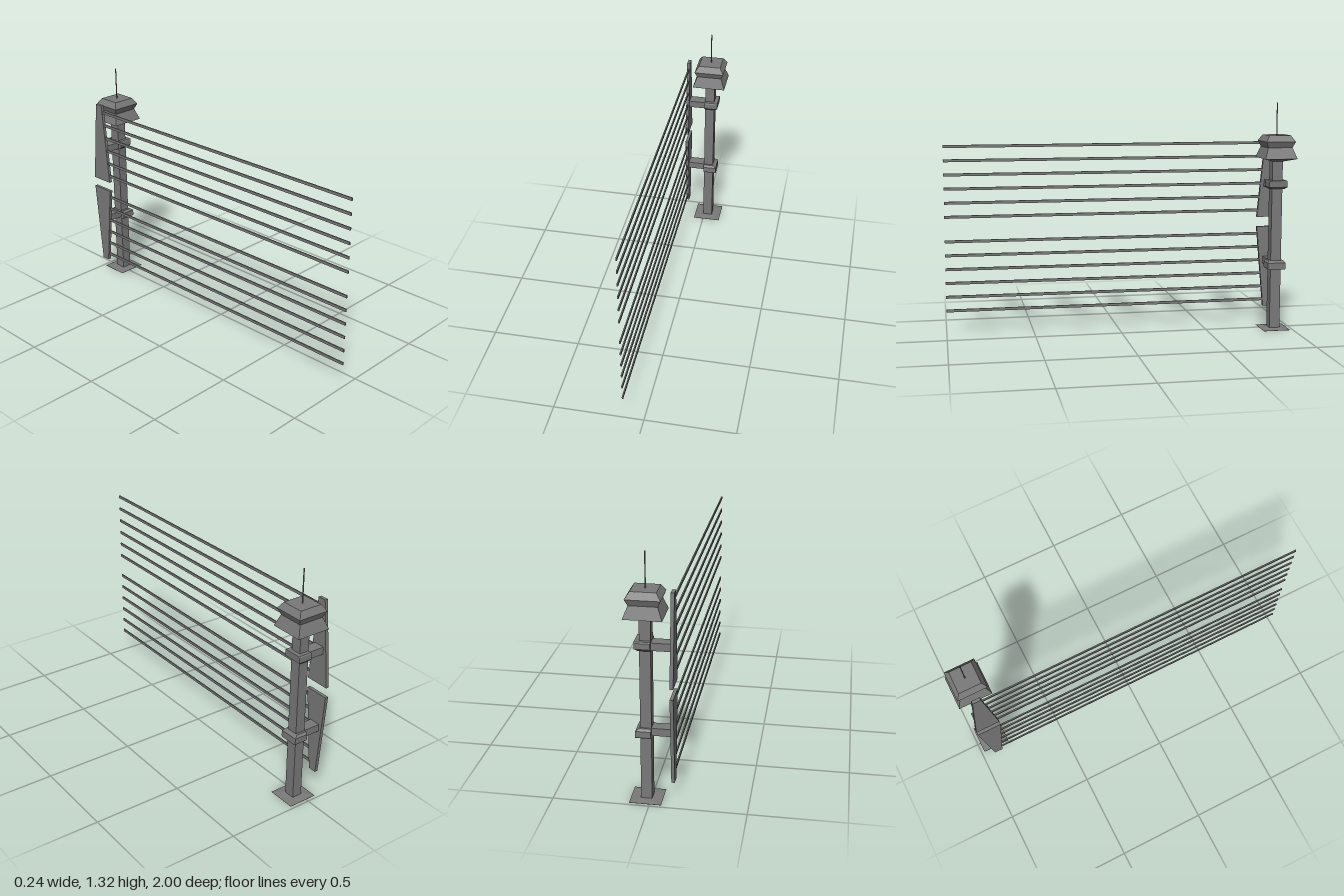
import * as THREE from 'three';

const material = new THREE.MeshStandardMaterial({ color: 0x797979, flatShading: true });
const POST_X = 0.023, POST_Z = -0.903, PANEL_X = -0.113;

function add(parent, name, geometry, x = 0, y = 0, z = 0) {
  const mesh = new THREE.Mesh(geometry, material);
  mesh.name = name;
  mesh.position.set(x, y, z);
  parent.add(mesh);
  return mesh;
}

// Closed loft through rectangles [y, x0, x1, halfDepth], listed bottom to top.
function loft(sections) {
  const positions = [], index = [];
  for (const [y, x0, x1, d] of sections) {
    positions.push(x0, y, d, x1, y, d, x1, y, -d, x0, y, -d);
  }
  for (let s = 0; s < sections.length - 1; s++) {
    for (let i = 0; i < 4; i++) {
      const a = s * 4 + i, b = s * 4 + (i + 1) % 4;
      index.push(a, b, b + 4, a, b + 4, a + 4);
    }
  }
  const t = (sections.length - 1) * 4;
  index.push(0, 2, 1, 0, 3, 2, t, t + 1, t + 2, t, t + 2, t + 3);
  const geometry = new THREE.BufferGeometry();
  geometry.setAttribute('position', new THREE.Float32BufferAttribute(positions, 3));
  geometry.setIndex(index);
  const flat = geometry.toNonIndexed();
  flat.computeVertexNormals();
  return flat;
}

// Mirrors a list of sections top to bottom about y = 0.
const flip = (sections) => sections.map(([y, ...rest]) => [-y, ...rest]).reverse();

export function createModel() {
  const model = new THREE.Group();
  model.name = 'fencePost';

  // Post with a shallow foot plate
  add(model, 'footPlate', loft([
    [0, -0.083, 0.083, 0.08], [0.001, -0.083, 0.083, 0.08], [0.007, -0.029, 0.029, 0.032],
  ]), POST_X, 0, POST_Z);
  add(model, 'post', new THREE.BoxGeometry(0.057, 0.994, 0.062), POST_X, 0.498, POST_Z);

  // Waisted square head and antenna
  add(model, 'head', loft([
    [0.987, 0.03], [1.006, 0.097], [1.07, 0.073], [1.104, 0.088], [1.139, 0.065],
  ].map(([y, h]) => [y, -h, h, h * 0.98])), POST_X, 0, POST_Z);
  add(model, 'antenna', new THREE.CylinderGeometry(0.0032, 0.0032, 0.19, 8), POST_X, 1.229, POST_Z);

  // Two mirrored brackets, each carrying a tapered panel and six rails
  const collar = [
    [-0.025, -0.029, 0.033, 0.043], [-0.013, -0.029, 0.05, 0.054],
    [0.018, -0.029, 0.051, 0.054], [0.025, -0.029, 0.051, 0.05],
  ];
  const panel = [[-0.242, -0.009, 0.009, 0.07], [0.242, -0.009, 0.009, 0.024]];
  const sides = [
    { name: 'upper', shape: (s) => s, collarY: 0.853, armY: 0.848, panelY: 0.887, railY: 0.686 },
    { name: 'lower', shape: flip, collarY: 0.383, armY: 0.388, panelY: 0.346, railY: 0.145 },
  ];
  for (const { name, shape, collarY, armY, panelY, railY } of sides) {
    const section = new THREE.Group();
    section.name = name + 'Section';
    model.add(section);
    add(section, 'collar', loft(shape(collar)), POST_X, collarY, POST_Z);
    add(section, 'arm', new THREE.BoxGeometry(0.11, 0.041, 0.064), -0.052, armY, POST_Z);
    add(section, 'panel', loft(shape(panel)), PANEL_X, panelY, POST_Z);
    for (let i = 0; i < 6; i++) {
      add(section, 'rail', new THREE.BoxGeometry(0.007, 0.016, 1.9), PANEL_X, railY + i * 0.08, 0.05);
    }
  }
  return model;
}
